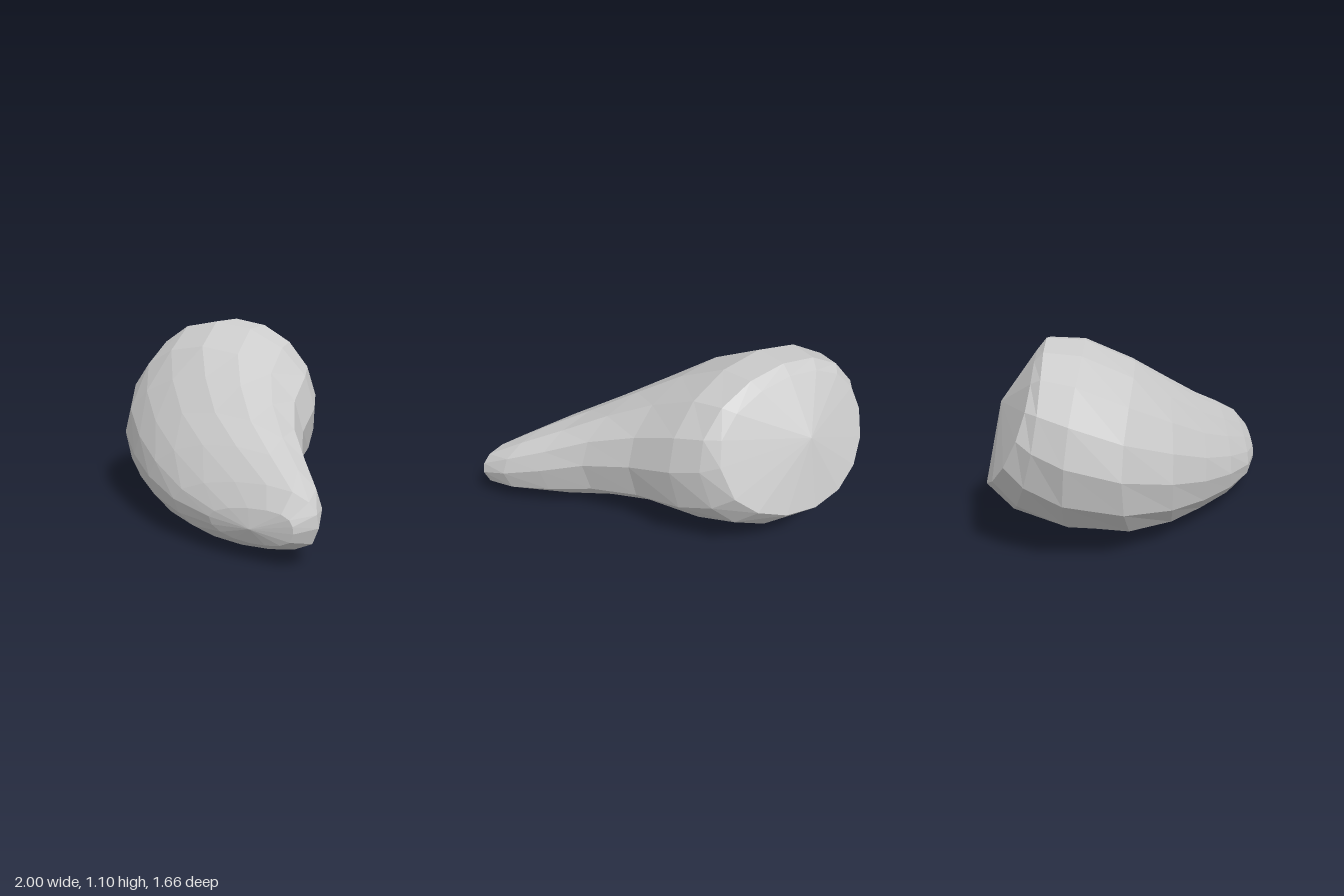
import * as THREE from 'three';

const SIDES = 16;

// Cross-sections from the blunt back to the tapered tip:
// [x min, x max, top y, top z, bottom y, bottom z, z shift of sides, x shift of top]
const SECTIONS = [
  [-0.88, 0.16, 1.04, -0.53, 0.32, -0.83, 0.08, 0],
  [-0.94, 0.24, 1.10, -0.48, 0.17, -0.68, 0.06, 0],
  [-1.00, 0.33, 1.09, -0.27, 0.06, -0.37, -0.04, -0.02],
  [-0.94, 0.42, 0.95, 0.00, 0.01, 0.00, -0.08, 0],
  [-0.74, 0.58, 0.79, 0.20, 0.00, 0.20, -0.01, 0],
  [-0.48, 0.77, 0.63, 0.40, 0.00, 0.38, 0, 0],
  [-0.20, 0.93, 0.50, 0.57, 0.01, 0.57, 0, 0.05],
  [0.11, 1.00, 0.37, 0.72, 0.04, 0.72, 0, 0.15],
  [0.41, 0.91, 0.27, 0.80, 0.09, 0.80, 0, 0.1],
];
const BACK = [-0.36, 0.75, -0.74];
const TIP = [0.68, 0.17, 0.83];

// Skin the rings (fuller in their lower half) and close both ends with fans
function taperedBody() {
  const positions = [];
  const index = [];
  for (const [x0, x1, yt, zt, yb, zb, sideZ, topX] of SECTIONS) {
    for (let j = 0; j < SIDES; j++) {
      const t = (j / SIDES) * Math.PI * 2;
      const c = Math.cos(t);
      const sin = Math.sin(t);
      const s = (sin < 0 ? -Math.pow(-sin, 0.82 - 0.1 * c) : sin) / 2;
      positions.push(
        (x0 + x1) / 2 + ((x1 - x0) / 2) * c + topX * Math.max(sin, 0) ** 2,
        (yt + yb) / 2 + (yt - yb) * s,
        (zt + zb) / 2 + (zt - zb) * s + sideZ * c * c
      );
    }
  }
  const rings = SECTIONS.length;
  const back = rings * SIDES;
  const tip = back + 1;
  positions.push(...BACK, ...TIP);

  for (let j = 0; j < SIDES; j++) {
    const k = (j + 1) % SIDES;
    for (let i = 0; i < rings - 1; i++) {
      const r = i * SIDES;
      const n = r + SIDES;
      index.push(r + j, r + k, n + k, r + j, n + k, n + j);
    }
    const last = (rings - 1) * SIDES;
    index.push(back, k, j, tip, last + j, last + k);
  }

  const indexed = new THREE.BufferGeometry();
  indexed.setAttribute('position', new THREE.Float32BufferAttribute(positions, 3));
  indexed.setIndex(index);
  const geometry = indexed.toNonIndexed();
  geometry.computeVertexNormals();
  return geometry;
}

export function createModel() {
  const group = new THREE.Group();
  group.name = 'curvedTaperedForm';
  const body = new THREE.Mesh(
    taperedBody(),
    new THREE.MeshStandardMaterial({ color: 0xcccccc, flatShading: true })
  );
  body.name = 'body';
  group.add(body);
  return group;
}
